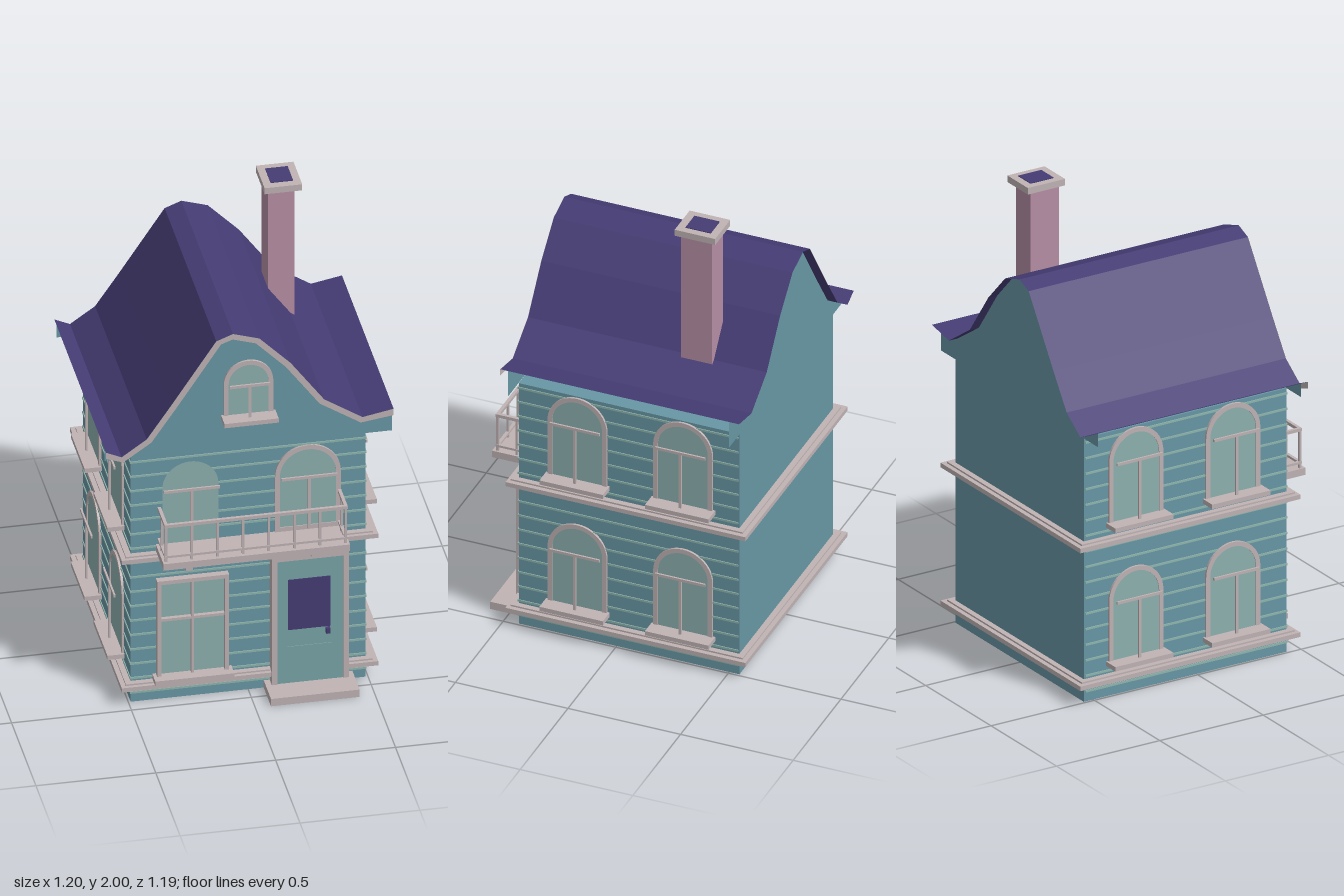
import * as THREE from 'three';

const mat = (name, color, side = THREE.FrontSide) => {
  const m = new THREE.MeshStandardMaterial({ color, side });
  m.name = name;
  return m;
};

export function createModel() {
  const house = new THREE.Group();
  house.name = 'house';
  const wall = mat('wall teal', 0x6897a5, THREE.DoubleSide);
  const siding = mat('siding pale green', 0x8fb5ae);
  const glass = mat('window glass', 0x8cb0ae, THREE.DoubleSide);
  const doorMat = mat('door teal', 0x78a5a8);
  const trim = mat('trim beige', 0xc0b3b4, THREE.DoubleSide);
  const roofMat = mat('roof indigo', 0x453c74, THREE.DoubleSide);
  const pink = mat('chimney pink', 0xb68ea4);
  const mauve = mat('floor mauve', 0x8d7a98);

  const add = (name, geo, material, parent = house) => {
    const mesh = new THREE.Mesh(geo, material);
    mesh.name = name;
    parent.add(mesh);
    return mesh;
  };
  // box given by its minimum and maximum on each axis
  const box = (name, material, x0, x1, y0, y1, z0, z1, parent = house) => {
    const m = add(name, new THREE.BoxGeometry(x1 - x0, y1 - y0, z1 - z0), material, parent);
    m.position.set((x0 + x1) / 2, (y0 + y1) / 2, (z0 + z1) / 2);
    return m;
  };
  // flat-shaded strip of quads between two rows of points
  const ribbon = (a, b) => {
    const p = [];
    for (let i = 0; i < a.length - 1; i++)
      for (const v of [a[i], a[i + 1], b[i + 1], a[i], b[i + 1], b[i]]) p.push(...v);
    const g = new THREE.BufferGeometry();
    g.setAttribute('position', new THREE.Float32BufferAttribute(p, 3));
    g.computeVertexNormals();
    return g;
  };

  // body with a floor of its own colour
  box('walls', [wall, wall, wall, mauve, wall, wall], -0.49, 0.49, 0, 1.17, -0.545, 0.435);

  // siding strips on the front and both sides
  for (let y = 0.04; y < 1.15; y += 0.069)
    box('sidingStrip', siding, -0.494, 0.494, y, y + 0.009, -0.54, 0.439);

  // stepped bands around the house
  for (const y of [0.068, 0.68]) {
    box('band', trim, -0.515, 0.515, y, y + 0.032, -0.57, 0.46);
    box('bandEdge', trim, -0.535, 0.535, y + 0.005, y + 0.025, -0.59, 0.475);
  }

  // curved roof sheet, gable walls and front verge
  const profile = [[-0.6, 1.23], [-0.535, 1.2], [-0.43, 1.273], [-0.33, 1.42], [-0.14, 1.708],
    [-0.07, 1.735], [0.04, 1.7], [0.17, 1.567], [0.31, 1.375], [0.47, 1.27], [0.6, 1.294]];
  const row = (pts, z) => pts.map(([x, y]) => [x, y, z]);
  add('roof', ribbon(row(profile, 0.47), row(profile, -0.59)), roofMat);

  const lower = profile.map(([x, y], i) => {
    const a = profile[Math.max(i - 1, 0)], b = profile[Math.min(i + 1, profile.length - 1)];
    const dx = b[0] - a[0], dy = b[1] - a[1], k = 0.026 / Math.hypot(dx, dy);
    const end = i === 0 || i === profile.length - 1;
    return end ? [x, y - 0.03] : [x + dy * k, y - dx * k];
  });
  add('roofVerge', ribbon(row(lower, 0.471), row(profile, 0.471)), trim);

  const gable = new THREE.ShapeGeometry(new THREE.Shape(
    [[-0.6, 1.17], [0.6, 1.17], ...[...profile].reverse()].map(([x, y]) => new THREE.Vector2(x, y))));
  add('frontGable', gable, wall).position.z = 0.436;
  const back = add('backGable', gable, wall);
  back.position.z = -0.546;

  // chimney
  box('chimney', pink, 0.216, 0.327, 1.22, 1.97, -0.355, -0.217);
  box('chimneyCap', trim, 0.198, 0.355, 1.968, 1.997, -0.38, -0.2);
  box('chimneyOpening', roofMat, 0.23, 0.324, 1.99, 2, -0.347, -0.235);

  // arched outline: half width r, base y0, springing line y1
  const arch = (Type, r, y0, y1) => {
    const s = new Type();
    s.moveTo(-r, y0);
    s.lineTo(r, y0);
    s.lineTo(r, y1);
    s.absarc(0, y1, r, 0, Math.PI, false);
    s.lineTo(-r, y0);
    return s;
  };
  // arched window built facing +z, its base at y = 0
  const archWindow = (name, r, h, framed = true, sill = true) => {
    const g = new THREE.Group();
    g.name = name;
    const inner = r - 0.02;
    add('glass', new THREE.ShapeGeometry(arch(THREE.Shape, inner, 0, h), 12), glass, g).position.z = 0.006;
    if (framed) {
      const s = arch(THREE.Shape, r, 0, h);
      s.holes.push(arch(THREE.Path, inner, 0.02, h));
      add('frame', new THREE.ExtrudeGeometry(s, { depth: 0.01, bevelEnabled: false, curveSegments: 12 }), trim, g);
    }
    box('mullion', trim, -0.006, 0.006, 0.02, h, 0.032, 0.04, g);
    box('crossbar', trim, -inner, inner, h - 0.006, h + 0.006, 0.032, 0.04, g);
    if (sill) box('sill', trim, -r - 0.01, r + 0.01, 0, 0.02, 0, 0.072, g);
    house.add(g);
    return g;
  };

  // side windows, two floors on both sides
  for (const side of [-1, 1])
    for (const z of [0.172, -0.297])
      for (const y of [0.135, 0.75]) {
        const w = archWindow('sideWindow', 0.131, 0.284);
        w.position.set(side * 0.49, y, z);
        w.rotation.y = side * Math.PI / 2;
      }

  // front arched windows
  archWindow('balconyWindow', 0.137, 0.265, false, false).position.set(-0.242, 0.745, 0.435);
  archWindow('balconyDoorway', 0.137, 0.265, true, false).position.set(0.248, 0.745, 0.435);
  archWindow('gableWindow', 0.103, 0.17).position.set(0, 1.31, 0.436);

  // ground floor rectangular window
  box('windowGlass', glass, -0.375, -0.095, 0.12, 0.57, 0.43, 0.443);
  for (const x of [-0.385, -0.103]) box('windowFrameSide', trim, x, x + 0.018, 0.11, 0.58, 0.43, 0.465);
  box('windowFrameTop', trim, -0.385, -0.085, 0.562, 0.58, 0.43, 0.465);
  box('windowMullion', trim, -0.242, -0.23, 0.12, 0.57, 0.44, 0.46);
  box('windowCrossbar', trim, -0.375, -0.095, 0.383, 0.395, 0.44, 0.46);
  box('windowSill', trim, -0.4, -0.07, 0.102, 0.124, 0.43, 0.5);

  // front door with frame and step
  box('doorStep', trim, 0.065, 0.435, 0, 0.035, 0.43, 0.585);
  box('door', doorMat, 0.11, 0.39, 0.035, 0.625, 0.43, 0.476);
  for (const x of [0.09, 0.388]) box('doorFrameSide', trim, x, x + 0.024, 0.035, 0.645, 0.43, 0.481);
  box('doorFrameTop', trim, 0.09, 0.412, 0.622, 0.645, 0.43, 0.481);
  box('doorPane', roofMat, 0.158, 0.335, 0.29, 0.53, 0.47, 0.479);
  box('doorPanel', doorMat, 0.155, 0.338, 0.1, 0.21, 0.47, 0.479);
  box('doorHandle', roofMat, 0.314, 0.332, 0.263, 0.287, 0.47, 0.495);

  // balcony floor, brackets and railing
  box('balconyFloor', trim, -0.385, 0.393, 0.712, 0.743, 0.43, 0.595);
  for (const x of [-0.26, 0.265]) box('balconyBracket', trim, x - 0.015, x + 0.015, 0.645, 0.715, 0.43, 0.51);
  for (const [y, t] of [[0.906, 0.014], [0.762, 0.01]]) {
    box('frontRail', trim, -0.378, 0.386, y, y + t, 0.568, 0.582);
    for (const x of [-0.378, 0.372]) box('sideRail', trim, x, x + 0.014, y, y + t, 0.435, 0.57);
  }
  const baluster = (x, z) => box('baluster', trim, x - 0.005, x + 0.005, 0.743, 0.91, z - 0.005, z + 0.005);
  for (let i = 0; i < 8; i++) baluster(-0.371 + i * 0.75 / 7, 0.575);
  for (const x of [-0.371, 0.379]) baluster(x, 0.49);

  return house;
}
